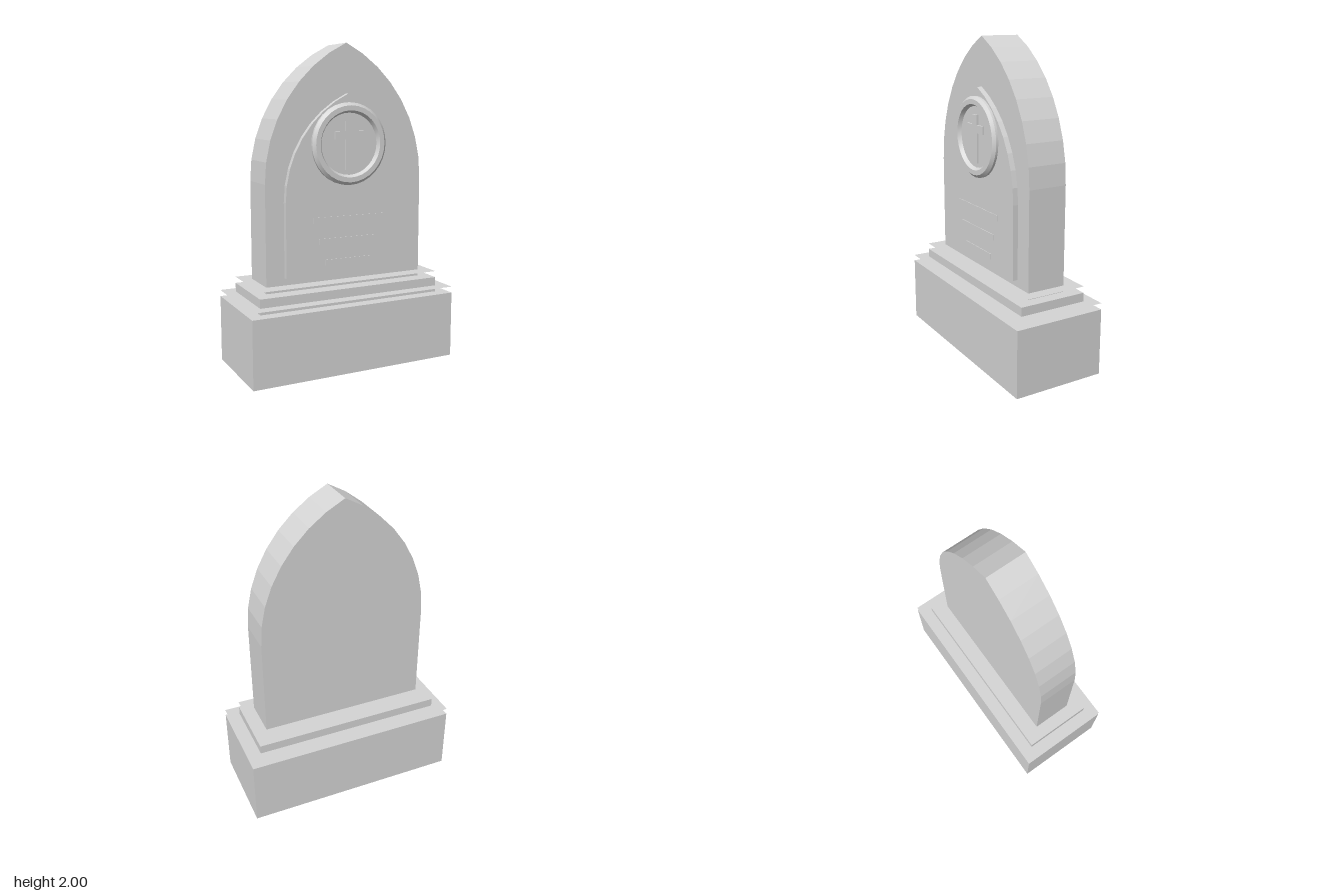
import * as THREE from 'three';
import { toCreasedNormals } from 'three/addons/utils/BufferGeometryUtils.js';

export function createModel() {
  const model = new THREE.Group();
  model.name = 'gravestone';
  const stone = new THREE.MeshStandardMaterial({ color: 0xd5d5d5, side: THREE.DoubleSide });
  stone.name = 'pale grey stone';

  function add(name, geometry, x = 0, y = 0, z = 0) {
    const mesh = new THREE.Mesh(geometry, stone);
    mesh.name = name;
    mesh.position.set(x, y, z);
    model.add(mesh);
    return mesh;
  }
  // Box placed by its bottom height and back depth
  function box(name, w, h, d, bottom, back) {
    return add(name, new THREE.BoxGeometry(w, h, d), 0, bottom + h / 2, back + d / 2);
  }
  // Flat horizontal sheet
  function sheet(name, w, d, y) {
    return add(name, new THREE.PlaneGeometry(w, d).rotateX(-Math.PI / 2), 0, y, 0);
  }
  // Pointed arch made of two arcs that meet at the apex
  function gothicArch(half, bottom, spring, apex, depth) {
    const rise = apex - spring;
    const offset = (rise * rise - half * half) / (2 * half);
    const radius = half + offset;
    const end = Math.atan2(rise, offset);
    const steps = 8;
    const right = [];
    for (let i = 0; i <= steps; i++) {
      const a = (end * i) / steps;
      right.push(new THREE.Vector2(radius * Math.cos(a) - offset, spring + radius * Math.sin(a)));
    }
    const left = right.slice(0, -1).reverse().map((p) => new THREE.Vector2(-p.x, p.y));
    const outline = [new THREE.Vector2(half, bottom), ...right, ...left, new THREE.Vector2(-half, bottom)];
    return new THREE.ExtrudeGeometry(new THREE.Shape(outline), { depth, bevelEnabled: false });
  }

  // Stepped plinth, each step with a thin sheet floating just above it
  box('base', 1.37, 0.42, 0.59, 0, -0.295);
  sheet('baseTrim', 1.37, 0.59, 0.46);
  box('step', 1.215, 0.095, 0.438, 0.42, -0.219);
  sheet('stepTrim', 1.215, 0.438, 0.555);

  // Headstone and its raised front panel
  add('headstone', gothicArch(0.532, 0.515, 1.17, 2, 0.25), 0, 0, -0.125);
  add('panel', gothicArch(0.415, 0.6, 1.06, 1.7, 0.033), 0, 0, 0.125);

  // Round medallion: chamfered rim around a recessed floor
  const profile = [
    [0.25, 0], [0.25, 0.016], [0.232, 0.033], [0.202, 0.033], [0.188, 0.01], [0, 0.01],
  ].map(([r, h]) => new THREE.Vector2(r, h));
  const medallion = add('medallion', toCreasedNormals(new THREE.LatheGeometry(profile, 32), 0.4), 0, 1.397, 0.157);
  medallion.rotation.x = Math.PI / 2;

  // Cross in one outline
  const half = [[0.03, 1.24], [0.03, 1.425], [0.1, 1.425], [0.1, 1.475], [0.03, 1.475], [0.03, 1.535]];
  const mirrored = half.map(([x, y]) => [-x, y]).reverse();
  const crossShape = new THREE.Shape([...half, ...mirrored].map(([x, y]) => new THREE.Vector2(x, y)));
  add('cross', new THREE.ExtrudeGeometry(crossShape, { depth: 0.014, bevelEnabled: false }), 0, 0, 0.165);

  // Three plain raised bars, shorter towards the bottom
  for (let i = 0; i < 3; i++) {
    box('inscriptionBar' + (i + 1), 0.48 - 0.08 * i, 0.035, 0.008, 0.923 - 0.132 * i, 0.154);
  }
  return model;
}
